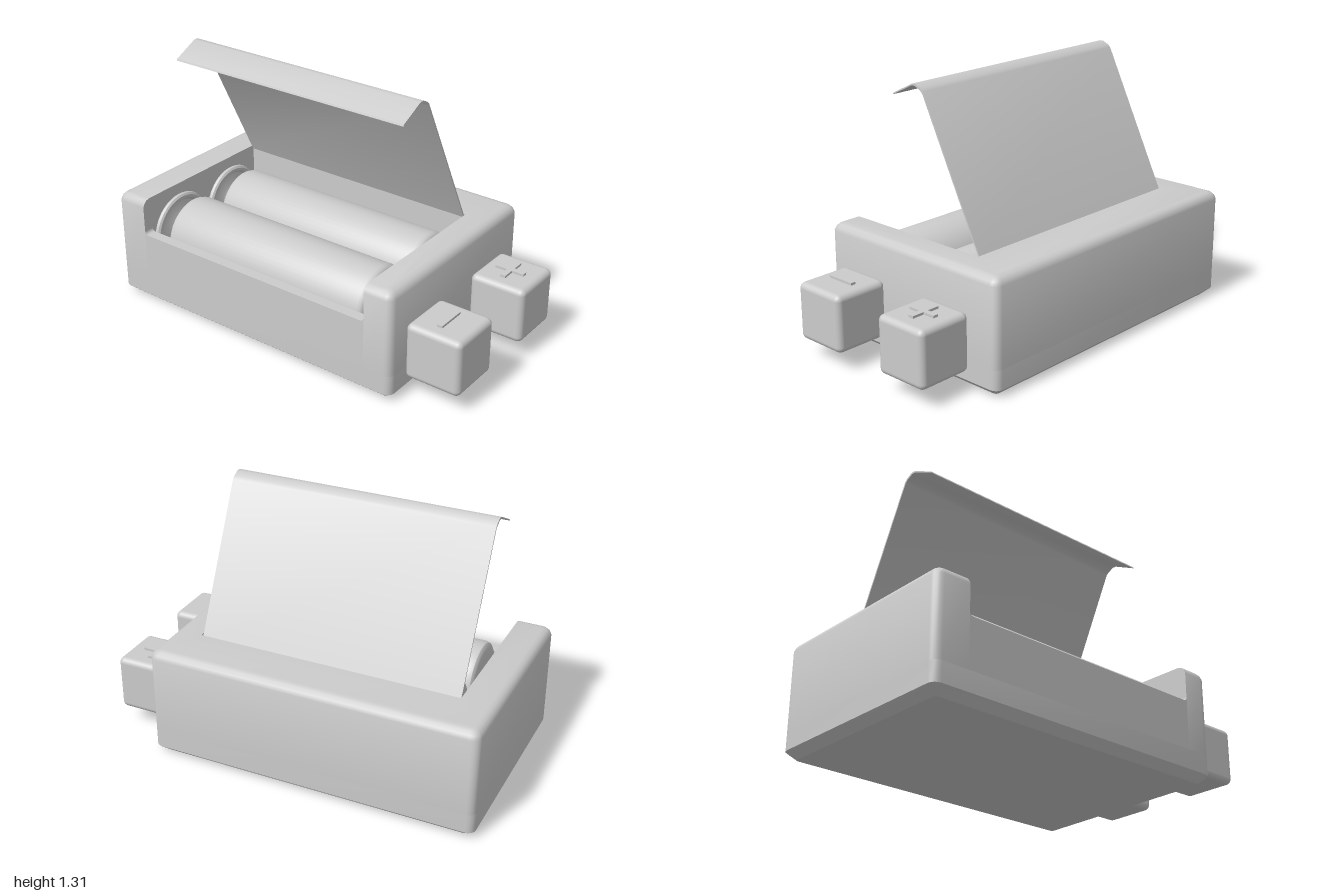
import * as THREE from 'three';
import { toCreasedNormals } from 'three/addons/utils/BufferGeometryUtils.js';
import { RoundedBoxGeometry } from 'three/addons/geometries/RoundedBoxGeometry.js';

const material = new THREE.MeshStandardMaterial({ color: 0xcccccc });

// Case and compartment limits
const X0 = -1, X1 = 0.7, Z = 0.555, TOP = 0.58;
const IN0 = -0.82, IN1 = 0.55, BACK = -0.3, FRONT = 0.5;
const FLOOR = 0.14, SILL = 0.39;

function add(parent, name, geometry, x = 0, y = 0, z = 0) {
  const mesh = new THREE.Mesh(geometry, material);
  mesh.name = name;
  mesh.position.set(x, y, z);
  parent.add(mesh);
  return mesh;
}

// Plan of the case, counter-clockwise from above; u = x, v = -z
function plan(inset, open) {
  const r = Math.max(0.04 - inset * 0.5, 0.015);
  const a = X0 + inset, b = X1 - inset, d = Z - inset;
  const pts = [];
  const corners = [[b - r, -d + r, -90], [b - r, d - r, 0], [a + r, d - r, 90], [a + r, -d + r, 180]];
  if (open) pts.push([IN1, -d]);
  for (const [cx, cy, start] of corners) {
    for (let i = 0; i <= 4; i++) {
      const t = THREE.MathUtils.degToRad(start + i * 22.5);
      pts.push([cx + r * Math.cos(t), cy + r * Math.sin(t)]);
    }
  }
  if (open) pts.push([IN0, -d], [IN0, -BACK], [IN1, -BACK]);
  return pts.map(p => new THREE.Vector2(...p));
}

// Stack plans at [height, inset] levels and cap both ends
function loft(levels, open) {
  const rings = levels.map(([y, inset]) => plan(inset, open).map(p => new THREE.Vector3(p.x, y, -p.y)));
  const n = rings[0].length, verts = [];
  const tri = (...vs) => vs.forEach(v => verts.push(v.x, v.y, v.z));
  for (let k = 0; k < rings.length - 1; k++) {
    for (let i = 0; i < n; i++) {
      const j = (i + 1) % n, lo = rings[k], hi = rings[k + 1];
      tri(lo[i], lo[j], hi[j]);
      tri(lo[i], hi[j], hi[i]);
    }
  }
  const cap = (k, flip) => {
    const ring = rings[k];
    for (const [a, b, c] of THREE.ShapeUtils.triangulateShape(plan(levels[k][1], open), [])) {
      if (flip) tri(ring[a], ring[c], ring[b]);
      else tri(ring[a], ring[b], ring[c]);
    }
  };
  cap(0, true);
  cap(rings.length - 1, false);
  const geometry = new THREE.BufferGeometry();
  geometry.setAttribute('position', new THREE.Float32BufferAttribute(verts, 3));
  return toCreasedNormals(geometry, 0.6);
}

// Turned part lying along x; points are [radius, x]
function turned(points) {
  const g = new THREE.LatheGeometry(points.map(p => new THREE.Vector2(...p)), 48);
  g.rotateZ(-Math.PI / 2);
  return toCreasedNormals(g, 0.6);
}

function buildCase() {
  const box = new THREE.Group();
  box.name = 'case';
  add(box, 'base', loft([[0, 0.045], [0.04, 0], [FLOOR, 0]], false));
  add(box, 'walls', loft([[FLOOR, 0], [0.54, 0], [0.56, 0.008], [0.574, 0.022], [TOP, 0.042]], true));

  // Low front wall with small fillets where it meets the sides
  const f = 0.022, s = new THREE.Shape();
  s.moveTo(IN0, FLOOR);
  s.lineTo(IN1, FLOOR);
  s.lineTo(IN1, SILL + f);
  s.quadraticCurveTo(IN1, SILL, IN1 - f, SILL);
  s.lineTo(IN0 + f, SILL);
  s.quadraticCurveTo(IN0, SILL, IN0, SILL + f);
  const wall = new THREE.ExtrudeGeometry(s, { depth: Z - FRONT, bevelEnabled: false, curveSegments: 5 });
  add(box, 'frontWall', wall, 0, 0, FRONT);
  return box;
}

function buildBattery(z) {
  const cell = new THREE.Group();
  cell.name = 'battery';
  cell.position.set(0, 0.335, z);
  add(cell, 'batteryBody', turned([
    [0, -0.73], [0.155, -0.73], [0.172, -0.727], [0.184, -0.718], [0.19, -0.7],
    [0.19, 0.455], [0.186, 0.472], [0.175, 0.483], [0.16, 0.487], [0, 0.487],
  ]));
  // Dished contact and its centre button
  add(cell, 'leftContact', turned([
    [0, IN0], [0.185, IN0], [0.19, -0.812], [0.188, -0.8], [0.178, -0.793],
    [0.162, -0.795], [0.152, -0.806], [0.085, -0.806], [0.068, -0.798], [0.062, -0.728], [0, -0.728],
  ]));
  add(cell, 'rightTerminal', turned([[0, 0.48], [0.08, 0.48], [0.068, 0.525], [0.06, 0.532], [0, 0.532]]));
  return cell;
}

function buildLid() {
  // Bent sheet in side profile, [z, y] along its upper face
  const path = [[-0.302, 0.57], [0.052, 1.285], [0.066, 1.298], [0.1, 1.314], [0.122, 1.313], [0.25, 1.25]];
  const under = path.map(([z, y]) => [z + 0.004, y - 0.009]).reverse();
  const shape = new THREE.Shape([...path, ...under].map(([z, y]) => new THREE.Vector2(-z, y)));
  const g = new THREE.ExtrudeGeometry(shape, { depth: 1.36, bevelEnabled: false });
  g.rotateY(Math.PI / 2);
  return toCreasedNormals(g, 0.5);
}

function buildButton(z, plus) {
  const button = new THREE.Group();
  button.name = plus ? 'plusBlock' : 'minusBlock';
  button.position.set(0.853, 0.24, z);
  add(button, 'block', new RoundedBoxGeometry(0.294, 0.29, 0.29, 4, 0.03));
  // Raised sign on top
  const w = 0.014, l = 0.077;
  const outline = plus
    ? [[w, -l], [w, -w], [l, -w], [l, w], [w, w], [w, l], [-w, l], [-w, w], [-l, w], [-l, -w], [-w, -w], [-w, -l]]
    : [[w, -l], [w, l], [-w, l], [-w, -l]];
  const sign = new THREE.ExtrudeGeometry(new THREE.Shape(outline.map(p => new THREE.Vector2(...p))),
    { depth: 0.02, bevelEnabled: false });
  sign.rotateX(-Math.PI / 2);
  add(button, 'raisedSign', sign, -0.006, 0.137, 0);
  return button;
}

export function createModel() {
  const model = new THREE.Group();
  model.name = 'batteryBox';
  model.add(buildCase());
  for (const z of [0.3, -0.1]) model.add(buildBattery(z));
  add(model, 'lid', buildLid(), IN0);
  model.add(buildButton(-0.25, true), buildButton(0.305, false));
  return model;
}
